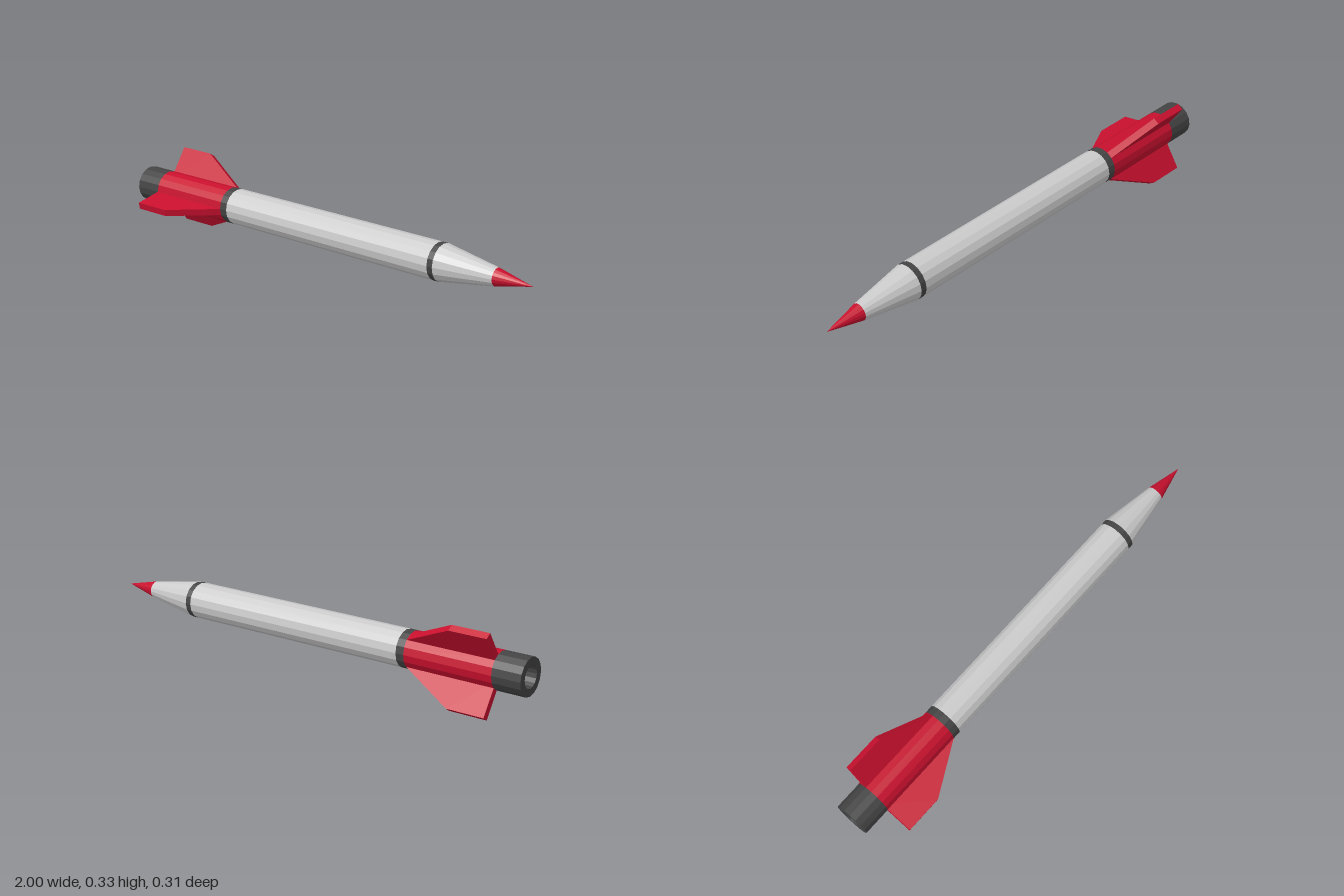
import * as THREE from 'three';

const SIDES = 16;
const R = 0.076;
const paint = (color) => new THREE.MeshStandardMaterial({ color, flatShading: true });
const grey = paint(0xcccccc), red = paint(0xc8102e), dark = paint(0x444444);

// Faceted part of revolution along x; profile is a list of [radius, x]
function turned(name, profile, material) {
  const pts = profile.map(([r, x]) => new THREE.Vector2(r, x));
  const geo = new THREE.LatheGeometry(pts, SIDES);
  geo.rotateZ(-Math.PI / 2);
  const mesh = new THREE.Mesh(geo, material);
  mesh.name = name;
  return mesh;
}

export function createModel() {
  const rocket = new THREE.Group();
  rocket.name = 'rocket';

  // Body sections from tail to tip
  rocket.add(
    turned('exhaustNozzle', [[0, -0.9], [0.045, -0.9], [0.045, -1], [R, -1], [R, -0.88]], dark),
    turned('tailSection', [[R, -0.88], [R, -0.5]], red),
    turned('rearBand', [[R, -0.5], [R, -0.465]], dark),
    turned('bodyTube', [[R, -0.465], [R, 0.575]], grey),
    turned('frontBand', [[R, 0.575], [R, 0.6]], dark),
    turned('noseCone', [[R, 0.6], [0.036, 0.84]], grey),
    turned('noseTip', [[0.036, 0.84], [0, 0.995]], red),
  );

  // Swept fins, spaced round the tail
  const thick = 0.029, tip = 0.191;
  const outline = new THREE.Shape([
    [-0.88, 0.05], [-0.5, 0.05], [-0.5, 0.074], [-0.72, tip], [-0.88, tip],
  ].map(([x, y]) => new THREE.Vector2(x, y)));
  const finGeo = new THREE.ExtrudeGeometry(outline, { depth: thick, bevelEnabled: false });
  finGeo.translate(0, 0, -thick / 2);
  for (const angle of [-11.2, 123.7, -123.7]) {
    const fin = new THREE.Mesh(finGeo, red);
    fin.name = 'fin';
    fin.rotation.x = THREE.MathUtils.degToRad(90 - angle);
    rocket.add(fin);
  }

  // Lift so the lowest fin touches the ground
  rocket.position.set(0, 0.167, -0.035);
  const model = new THREE.Group();
  model.name = 'model';
  model.add(rocket);
  return model;
}
